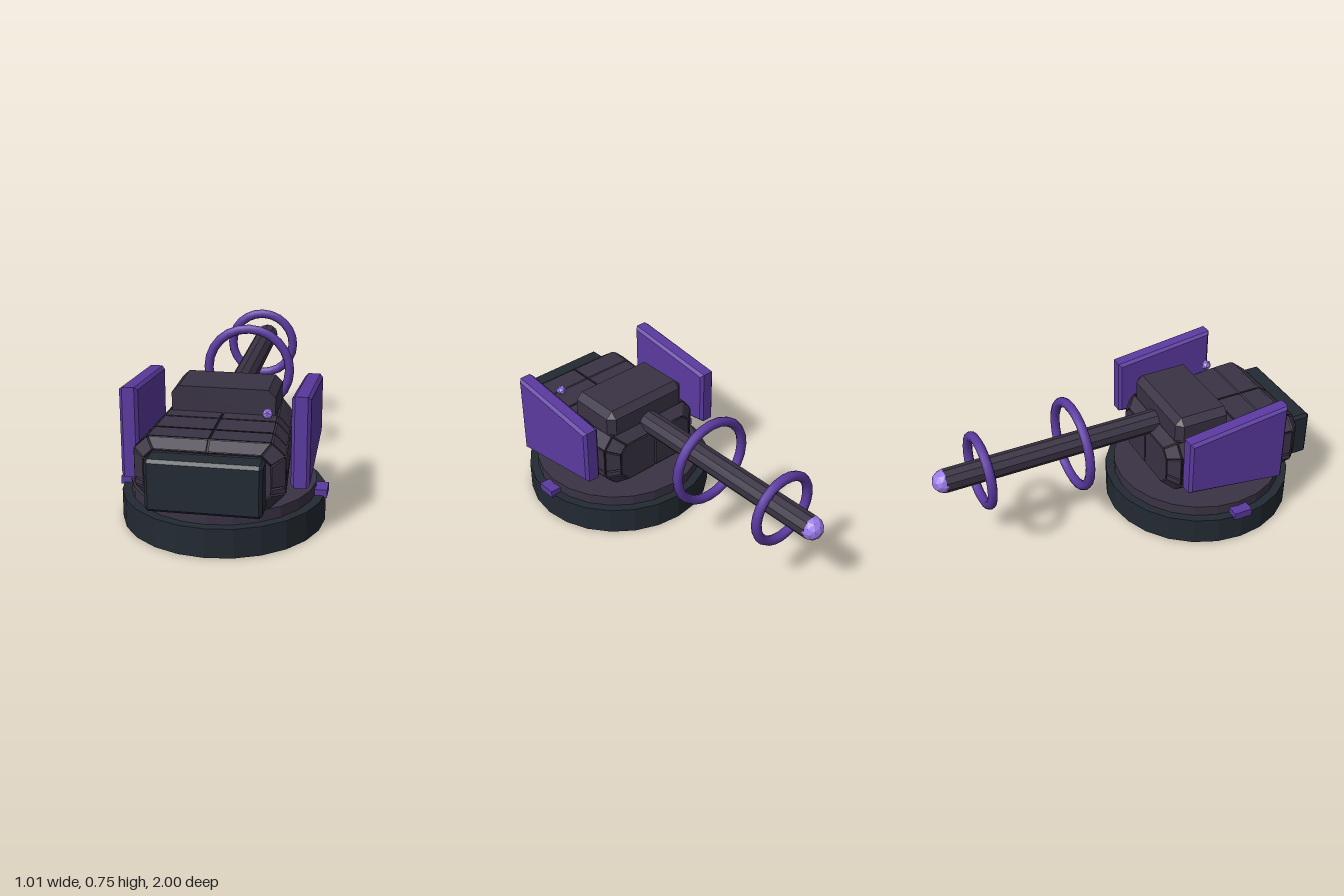
import * as THREE from 'three';
import { ConvexGeometry } from 'three/addons/geometries/ConvexGeometry.js';

const V = (x, y, z) => new THREE.Vector3(x, y, z);
const flat = (color) => new THREE.MeshStandardMaterial({ color, flatShading: true });

export function createModel() {
  const model = new THREE.Group();
  const slate = flat(0x232a33), armour = flat(0x3a3344), seam = flat(0x1b1821);
  const purple = flat(0x5b3aa0), glow = flat(0x9b7bea);
  const ringMat = new THREE.MeshStandardMaterial({ color: 0x5b3aa0 });

  function add(name, geometry, material, x = 0, y = 0, z = 0, parent = model) {
    const mesh = new THREE.Mesh(geometry, material);
    mesh.name = name;
    mesh.position.set(x, y, z);
    parent.add(mesh);
    return mesh;
  }

  // Box centred on the origin with all its edges cut by b
  function chamferBox(w, h, d, b) {
    const pts = [];
    for (const i of [-1, 1]) for (const j of [-1, 1]) for (const k of [-1, 1]) {
      const x = w / 2, y = h / 2, z = d / 2;
      pts.push(V(i * x, j * (y - b), k * (z - b)), V(i * (x - b), j * y, k * (z - b)),
        V(i * (x - b), j * (y - b), k * z));
    }
    return new ConvexGeometry(pts);
  }

  // Round pedestal
  add('base', new THREE.CylinderGeometry(0.495, 0.495, 0.145, 24), slate, 0, 0.0725, 0.47);
  add('turntable', new THREE.CylinderGeometry(0.45, 0.45, 0.055, 24), armour, 0, 0.1725, 0.47);
  for (const s of [-1, 1]) {
    add('baseTab', new THREE.BoxGeometry(0.06, 0.04, 0.1), purple, s * 0.475, 0.155, 0.47);
  }

  // Hull cross-sections: z, half widths (side, top, bottom), heights (bottom, low, seam, high, top)
  const rear = [0.21, 0.30, 0.245, 0.235, 0.215, 0.285, 0.32, 0.455, 0.525];
  const front = [0.84, 0.35, 0.285, 0.27, 0.20, 0.285, 0.32, 0.465, 0.527];
  const between = (z) => rear.map((a, i) => a + (front[i] - a) * (z - rear[0]) / (front[0] - rear[0]));
  const sections = [
    [0.155, 0.235, 0.195, 0.18, 0.25, 0.30, 0.335, 0.43, 0.475],
    rear, between(0.48), between(0.57), between(0.72), front,
    [0.9, 0.29, 0.245, 0.23, 0.25, 0.30, 0.33, 0.44, 0.485],
  ];
  const rings = sections.map(([z, w, t, b, yB, yL, yM, yH, yT]) => {
    const half = [[t, yT], [w, yH], [w, yM], [w, yL], [b, yB]];
    return [V(0, yT, z), ...half.map(([x, y]) => V(x, y, z)), V(0, yB, z),
      ...half.reverse().map(([x, y]) => V(-x, y, z))];
  });

  // Dark inner body shows in the gaps between the plates
  const centre = V(0, 0.365, 0.53);
  const sink = (p) => p.clone().sub(centre).multiplyScalar(0.965).add(centre);
  const hull = new THREE.Group();
  hull.name = 'hull';
  model.add(hull);
  add('hullCore', new ConvexGeometry(rings.flat().map(sink)), seam, 0, 0, 0, hull);

  // One armour plate: corners drawn in along both edges, then thickened inwards
  function plate(corners) {
    const n = corners.length;
    const outer = corners.map((p, i) => {
      const q = p.clone();
      for (const other of [corners[(i + 1) % n], corners[(i + n - 1) % n]]) {
        q.add(other.clone().sub(p).setLength(0.005));
      }
      return q;
    });
    const inner = outer.map((p) => p.clone().sub(centre).multiplyScalar(0.93).add(centre));
    add('hullPlate', new ConvexGeometry([...outer, ...inner]), armour, 0, 0, 0, hull);
  }
  for (let k = 0; k < rings.length - 1; k++) {
    for (let i = 0; i < 12; i++) {
      const j = (i + 1) % 12;
      plate([rings[k][i], rings[k][j], rings[k + 1][j], rings[k + 1][i]]);
    }
  }
  for (const end of [rings[0], rings[rings.length - 1]]) {
    plate(end.slice(0, 7));
    plate([...end.slice(6), end[0]]);
  }

  // Block at the front of the hull
  add('counterweight', chamferBox(0.53, 0.25, 0.2, 0.015), slate, 0, 0.348, 0.9);

  // Raised housing, chamfered at the sides and rear
  const housing = [];
  for (const s of [-1, 1]) {
    housing.push(
      V(s * 0.25, 0.50, 0.49), V(s * 0.25, 0.615, 0.49), V(s * 0.215, 0.65, 0.49),
      V(s * 0.25, 0.50, 0.245), V(s * 0.25, 0.615, 0.245), V(s * 0.215, 0.65, 0.245),
      V(s * 0.215, 0.615, 0.21), V(s * 0.215, 0.50, 0.21));
  }
  add('housing', new ConvexGeometry(housing), armour);

  // Barrel with its rounded tip and two rings
  const barrel = new THREE.CylinderGeometry(0.06, 0.06, 1.18, 10).rotateX(Math.PI / 2);
  add('barrel', barrel, armour, 0, 0.51, -0.35);
  add('barrelTip', new THREE.IcosahedronGeometry(0.06, 1), glow, 0, 0.51, -0.94);
  add('largeRing', new THREE.TorusGeometry(0.22, 0.025, 8, 24), ringMat, 0, 0.51, -0.26);
  add('smallRing', new THREE.TorusGeometry(0.175, 0.025, 8, 24), ringMat, 0, 0.51, -0.755);

  // Tapered side shields with cut edges
  const outline = [[0.73, 0.71], [0.18, 0.645], [0.18, 0.345], [0.73, 0.268]];
  for (const s of [-1, 1]) {
    const pts = [];
    for (const [z, y] of outline) {
      const zi = z + (z > 0.5 ? -0.014 : 0.014), yi = y + (y > 0.5 ? -0.014 : 0.014);
      for (const x of [0.369, 0.427]) pts.push(V(s * x, y, z));
      for (const x of [0.354, 0.442]) pts.push(V(s * x, yi, zi));
    }
    add(s > 0 ? 'leftShield' : 'rightShield', new ConvexGeometry(pts), purple);
  }

  // Small sensor light
  add('sensorLight', new THREE.IcosahedronGeometry(0.028, 0), glow, 0.235, 0.59, 0.645);

  return model;
}
